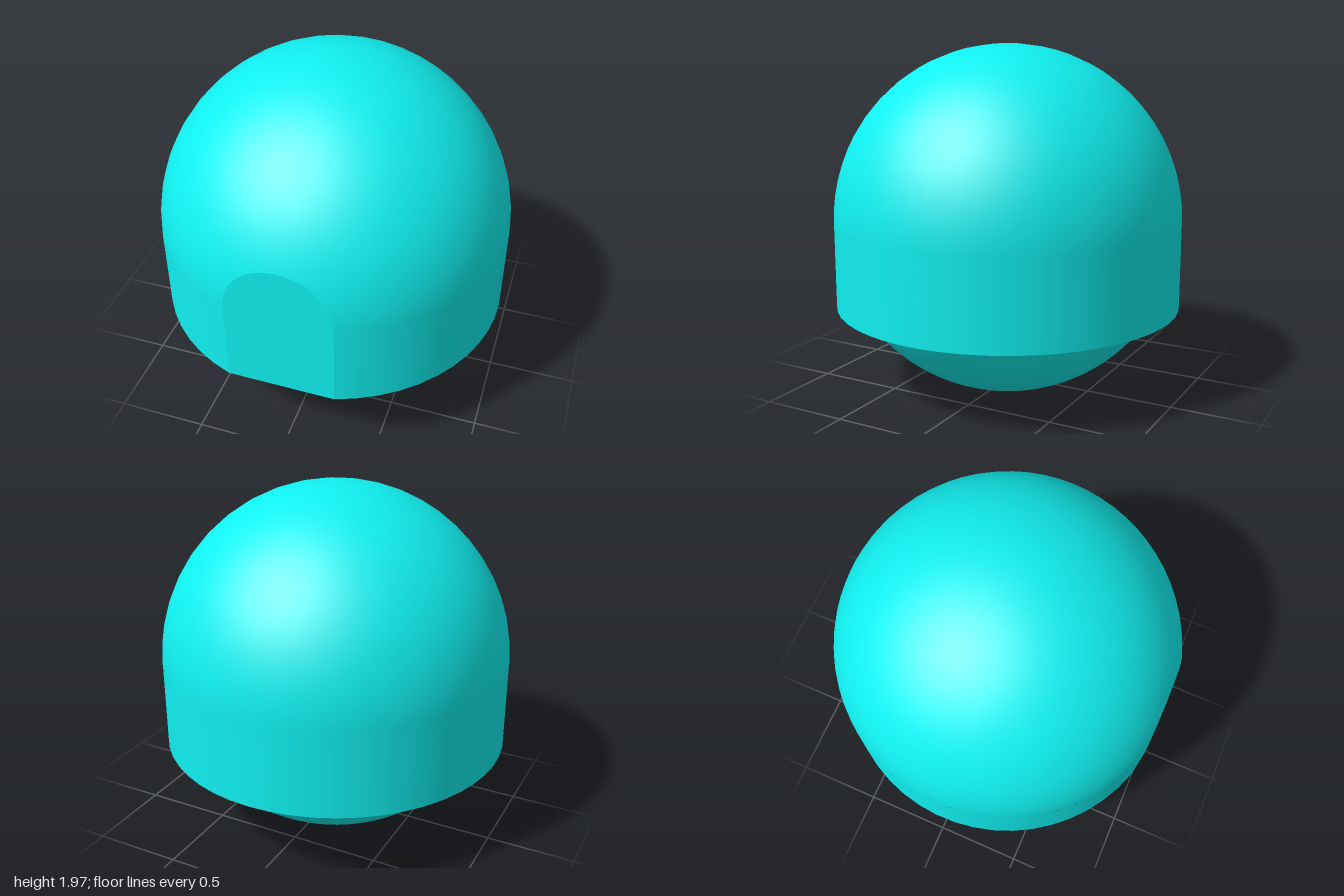
import * as THREE from 'three';
import { toCreasedNormals } from 'three/addons/utils/BufferGeometryUtils.js';
import { ParametricGeometry } from 'three/addons/geometries/ParametricGeometry.js';

const CY = 0.975;              // height of the ball's centre
const RIM = 0.48;              // underside of the hood
const FLAT = 0.3;              // half width of the front flat
const FLAT_Z = Math.sqrt(1 - FLAT * FLAT);
const EYE_Y = 0.51, EYE_R = 0.531, PUPIL_R = 0.147;

// Radius of the almond-shaped eye opening (two crossing arcs) at an azimuth
function almond(a) {
  const R = 0.66, d = 0.34, c = Math.abs(Math.cos(a));
  return -d * c + Math.sqrt(d * d * c * c + R * R - d * d);
}

export function createModel() {
  const model = new THREE.Group();
  const material = new THREE.MeshStandardMaterial({ color: 0x10f0f0 });
  const add = (name, geometry, parent) => {
    const mesh = new THREE.Mesh(geometry, material);
    mesh.name = name;
    parent.add(mesh);
    return mesh;
  };

  // Hood: half ball on a short cylinder, sliced flat at the front
  const hood = new THREE.Group();
  hood.name = 'hood';
  model.add(hood);

  const cut = Math.asin(FLAT);
  const dome = new THREE.SphereGeometry(1, 24, 32, Math.PI, Math.PI, cut, Math.PI - cut);
  dome.rotateX(Math.PI / 2);
  add('hoodDome', dome, hood).position.y = CY;

  const side = new THREE.CylinderGeometry(1, 1, CY - RIM, 48, 1, true, cut, 2 * Math.PI - 2 * cut);
  add('hoodSide', side, hood).position.y = (CY + RIM) / 2;

  const panel = new THREE.Shape();
  panel.moveTo(-FLAT, RIM);
  panel.lineTo(FLAT, RIM);
  panel.lineTo(FLAT, CY);
  panel.absarc(0, CY, FLAT, 0, Math.PI, false);
  panel.closePath();
  add('frontFlat', new THREE.ShapeGeometry(panel, 24), hood).position.z = FLAT_Z;

  // Underside ring between the hood and the ball
  const ring = new THREE.Shape();
  const start = -Math.PI / 2 + cut;
  ring.absarc(0, 0, 1, Math.PI / 2 + cut, Math.PI * 2.5 - cut, false);
  ring.closePath();
  const hole = new THREE.Path();
  hole.absarc(0, 0, Math.sqrt(1 - (CY - RIM) ** 2), 0, Math.PI * 2, true);
  ring.holes.push(hole);
  const rim = new THREE.ShapeGeometry(ring, 48);
  rim.rotateX(Math.PI / 2);
  add('hoodRim', rim, hood).position.y = RIM;

  // Lower ball, running from the rim down to the almond opening
  const rimAngle = Math.acos(CY - RIM);
  const ball = new ParametricGeometry((u, v, target) => {
    const a = u * Math.PI * 2;
    const t = THREE.MathUtils.lerp(rimAngle, Math.asin(almond(a)), v);
    target.set(Math.sin(t) * Math.cos(a), CY - Math.cos(t), Math.sin(t) * Math.sin(a));
  }, 64, 14);
  add('lowerBall', ball, model);

  // Vertical wall of the eye opening
  const wall = new ParametricGeometry((u, v, target) => {
    const a = u * Math.PI * 2, r = almond(a);
    const y = THREE.MathUtils.lerp(CY - Math.sqrt(1 - r * r), EYE_Y, v);
    target.set(r * Math.cos(a), y, r * Math.sin(a));
  }, 64, 1);
  add('eyeOpeningWall', toCreasedNormals(wall, 0.6), model);

  // Eyeball with a round pupil hole drilled into its lowest point
  const profile = [[0, 0.32], [PUPIL_R, 0.32]].map(([x, y]) => new THREE.Vector2(x, y));
  const first = Math.asin(PUPIL_R / EYE_R);
  for (let i = 0; i <= 14; i++) {
    const t = THREE.MathUtils.lerp(first, Math.PI / 2, i / 14);
    profile.push(new THREE.Vector2(EYE_R * Math.sin(t), EYE_Y - EYE_R * Math.cos(t)));
  }
  add('eyeball', toCreasedNormals(new THREE.LatheGeometry(profile, 40), 0.6), model);

  // Ceiling closing the opening above the eyeball
  const ceiling = new THREE.CircleGeometry(0.58, 40);
  ceiling.rotateX(Math.PI / 2);
  add('openingCeiling', ceiling, model).position.y = EYE_Y;

  // Centre the flattened depth on z = 0
  model.children.forEach((part) => { part.position.z += (1 - FLAT_Z) / 2; });
  return model;
}
